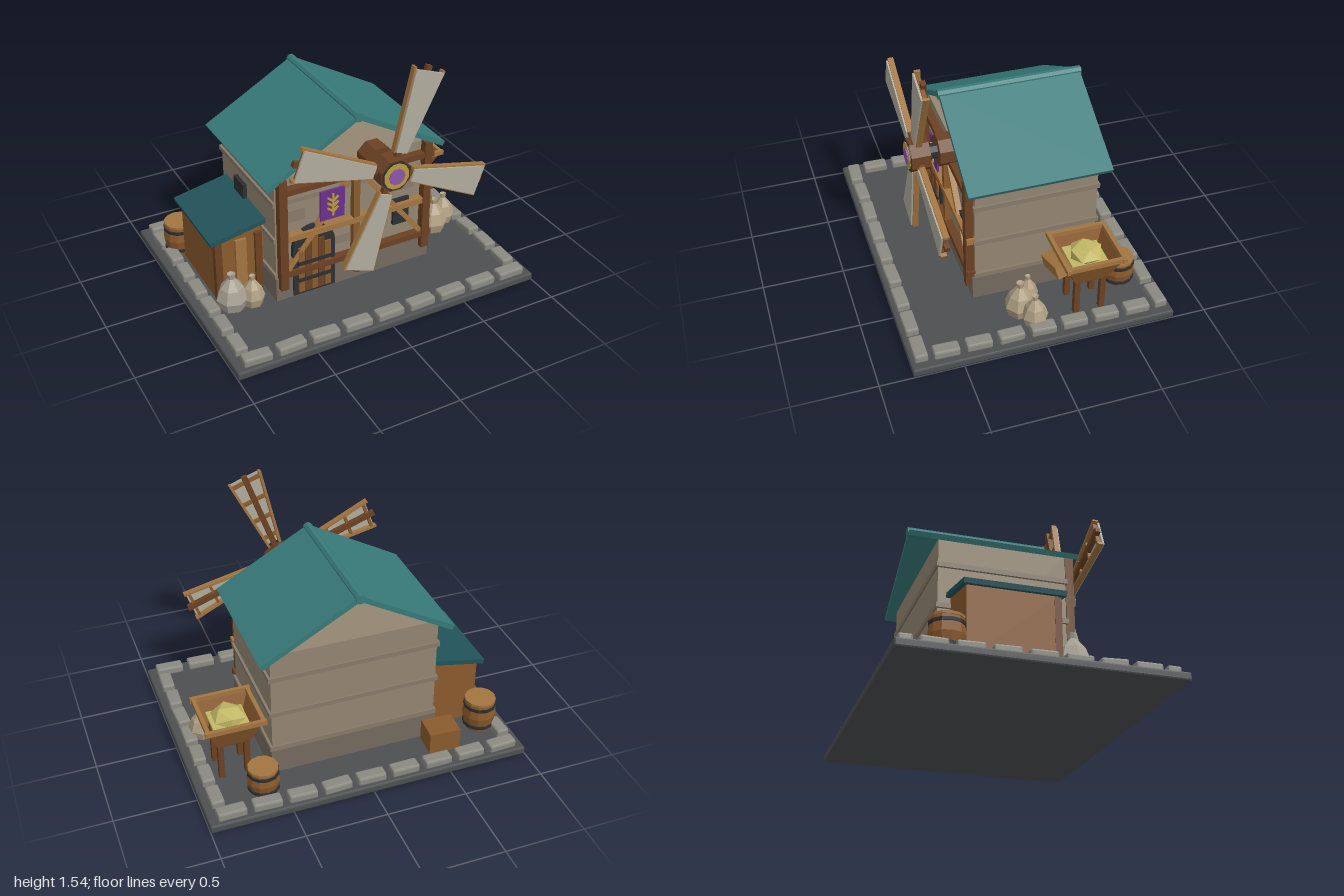
import * as THREE from 'three';
import { RoundedBoxGeometry } from 'three/addons/geometries/RoundedBoxGeometry.js';

const C = {
  ground: 0x4c4f51, stone: 0x8a8a82, wall: 0x938672, foundation: 0x746a5f, brick: 0x877a69,
  roof: 0x387a7a, roofDark: 0x22525a, dark: 0x6b4122, mid: 0x8a5a2c, light: 0xa27540,
  iron: 0x2e2f33, cloth: 0xb0ab9c, purple: 0x6b2f8f, lilac: 0x8c56a8, gold: 0xb89a3c,
  grain: 0xc2b866, sack: 0xb0a083, sackGrey: 0xa8a194,
};
const mats = {};
const mat = (color, double = false) => mats[color + '_' + double] ??= new THREE.MeshStandardMaterial({
  color, flatShading: true, side: double ? THREE.DoubleSide : THREE.FrontSide,
});

// small seeded generator for irregular stones
let seed = 7;
const jitter = (a) => { seed = (seed * 16807) % 2147483647; return (seed / 2147483647 - 0.5) * 2 * a; };

function add(parent, name, geo, color, x = 0, y = 0, z = 0, double = false) {
  const m = new THREE.Mesh(geo, mat(color, double));
  m.name = name;
  m.position.set(x, y, z);
  parent.add(m);
  return m;
}
// box given by its extents
const box = (p, name, color, x0, x1, y0, y1, z0, z1) =>
  add(p, name, new THREE.BoxGeometry(x1 - x0, y1 - y0, z1 - z0), color, (x0 + x1) / 2, (y0 + y1) / 2, (z0 + z1) / 2);
// bar between two points of the xy plane
function bar(p, name, color, x0, y0, x1, y1, thick, z0, z1) {
  const m = add(p, name, new THREE.BoxGeometry(Math.hypot(x1 - x0, y1 - y0), thick, z1 - z0), color,
    (x0 + x1) / 2, (y0 + y1) / 2, (z0 + z1) / 2);
  m.rotation.z = Math.atan2(y1 - y0, x1 - x0);
  return m;
}
// cylinder lying along z
function disc(p, name, color, r, z0, z1, sides, x = 0, y = 0) {
  const geo = new THREE.CylinderGeometry(r, r, z1 - z0, sides).rotateX(Math.PI / 2).rotateZ(Math.PI / sides);
  return add(p, name, geo, color, x, y, (z0 + z1) / 2);
}
function group(parent, name, x = 0, y = 0, z = 0) {
  const g = new THREE.Group();
  g.name = name;
  g.position.set(x, y, z);
  parent.add(g);
  return g;
}

function buildYard(root) {
  const yard = group(root, 'yard');
  add(yard, 'ground', new RoundedBoxGeometry(2, 0.05, 1.6, 1, 0.01), C.ground, 0, 0.025, 0);
  const stone = (x, z, w, d) => {
    const m = add(yard, 'edgeStone', new RoundedBoxGeometry(w, 0.055, d, 1, 0.012), C.stone, x, 0.072, z);
    m.rotation.set(jitter(0.04), jitter(0.05), jitter(0.04));
  };
  for (const s of [-1, 1]) {
    for (let i = -4; i <= 4; i++) stone(i * 0.215, s * 0.735, 0.175, 0.08);
    for (let i = -3; i <= 3; i++) stone(s * 0.915, i * 0.195, 0.08, 0.155);
  }
}

function buildHouse(root) {
  const h = group(root, 'house');
  box(h, 'walls', C.wall, -0.52, 0.52, 0.05, 0.89, -0.465, 0.29);
  box(h, 'foundation', C.foundation, -0.53, 0.53, 0.05, 0.21, -0.478, 0.31);
  for (const y of [0.225, 0.475, 0.725])
    box(h, 'wallBand', C.brick, -0.535, 0.535, y - 0.015, y + 0.015, -0.475, 0.3);
  for (const [x, y, w, hh] of [[-0.39, 0.62, 0.12, 0.08], [0.15, 0.77, 0.12, 0.08], [0.3, 0.76, 0.11, 0.08],
    [0.17, 0.42, 0.12, 0.07], [0.37, 0.62, 0.1, 0.07], [-0.08, 0.36, 0.1, 0.06]])
    box(h, 'wallBrick', C.brick, x - w / 2, x + w / 2, y - hh / 2, y + hh / 2, 0.28, 0.3);

  // roof
  for (const s of [-1, 1]) bar(h, 'roofSlope', C.roof, 0, 1.193, s * 0.59, 0.862, 0.032, -0.525, 0.345);
  disc(h, 'roofRidge', C.roof, 0.03, -0.533, 0.353, 8, 0, 1.193);

  // timber frame
  for (const x of [-0.487, 0.487]) box(h, 'cornerPost', C.dark, x - 0.026, x + 0.026, 0.14, 0.9, 0.295, 0.345);
  box(h, 'centrePost', C.mid, -0.021, 0.021, 0.14, 0.83, 0.295, 0.335);
  for (const [y, c] of [[0.81, C.dark], [0.49, C.light], [0.24, C.dark]])
    box(h, 'crossBeam', c, -0.51, 0.53, y - 0.019, y + 0.019, 0.29, 0.34);
  for (const s of [-1, 1]) bar(h, 'brace', C.light, s * 0.46, 0.26, s * 0.05, 0.78, 0.032, 0.295, 0.33);

  // arched door
  const arch = (r, y0, y1) => {
    const s = new THREE.Shape();
    s.moveTo(-r, y0);
    s.lineTo(r, y0);
    s.absarc(0, y1, r, 0, Math.PI);
    return s;
  };
  const ext = (depth) => ({ depth, bevelEnabled: false, curveSegments: 6 });
  add(h, 'doorSurround', new THREE.ExtrudeGeometry(arch(0.14, 0.06, 0.39), ext(0.035)), C.iron, -0.28, 0, 0.285);
  for (let i = -2; i <= 2; i++)
    box(h, 'doorPlank', i % 2 ? C.dark : C.mid, -0.3 + i * 0.044, -0.26 + i * 0.044, 0.08, 0.47 - Math.abs(i) * 0.035, 0.31, 0.33);
  for (const y of [0.17, 0.29]) box(h, 'doorStrap', C.iron, -0.39, -0.17, y - 0.012, y + 0.012, 0.31, 0.336);

  // windows
  box(h, 'frontWindow', C.iron, 0.27, 0.38, 0.35, 0.53, 0.28, 0.312);
  box(h, 'sideWindow', C.iron, -0.545, -0.5, 0.51, 0.65, -0.24, -0.1);

  // banner with an ear of wheat
  box(h, 'banner', C.purple, -0.25, -0.09, 0.56, 0.76, 0.335, 0.347);
  box(h, 'wheatStem', C.gold, -0.176, -0.164, 0.585, 0.735, 0.343, 0.356);
  for (const y of [0.63, 0.665, 0.7]) for (const s of [-1, 1])
    bar(h, 'wheatGrain', C.gold, -0.17, y - 0.015, -0.17 + s * 0.035, y + 0.012, 0.012, 0.345, 0.358);
}

function buildWindmill(root) {
  const mill = group(root, 'windmill', 0.12, 0.89, 0);
  disc(mill, 'axleMount', C.dark, 0.1, 0.28, 0.4, 8);
  disc(mill, 'axle', C.iron, 0.048, 0.38, 0.46, 8);
  disc(mill, 'hub', C.dark, 0.105, 0.455, 0.57, 8);
  disc(mill, 'hubRim', C.iron, 0.098, 0.55, 0.575, 8);
  disc(mill, 'hubRing', C.gold, 0.083, 0.56, 0.58, 12);
  disc(mill, 'hubCap', C.lilac, 0.052, 0.57, 0.587, 10);

  for (let i = 0; i < 4; i++) {
    const blade = group(mill, 'blade');
    blade.rotation.z = THREE.MathUtils.degToRad(70.3 + 90 * i);
    bar(blade, 'spar', C.dark, 0.05, 0, 0.665, 0, 0.034, 0.5, 0.53);
    for (const s of [-1, 1]) bar(blade, 'sailEdge', C.light, 0.13, s * 0.038, 0.65, s * 0.1, 0.016, 0.505, 0.54);
    for (const r of [0.2, 0.34, 0.48, 0.62]) {
      const w = 0.03 + 0.1 * r;
      box(blade, 'sailRung', C.mid, r - 0.009, r + 0.009, -w, w, 0.51, 0.533);
    }
    const sail = new THREE.Shape([[0.135, -0.038], [0.64, -0.097], [0.64, 0.097], [0.135, 0.038]]
      .map(([x, y]) => new THREE.Vector2(x, y)));
    add(blade, 'sail', new THREE.ExtrudeGeometry(sail, { depth: 0.012, bevelEnabled: false }), C.cloth, 0, 0, 0.538);
  }
}

function buildShed(root) {
  const shed = group(root, 'shed');
  const side = new THREE.Shape([[-0.84, 0.05], [-0.5, 0.05], [-0.5, 0.535], [-0.84, 0.465]]
    .map(([x, y]) => new THREE.Vector2(x, y)));
  add(shed, 'shedBody', new THREE.ExtrudeGeometry(side, { depth: 0.51, bevelEnabled: false }), C.mid, 0, 0, -0.39);
  bar(shed, 'shedRoof', C.roofDark, -0.875, 0.472, -0.51, 0.545, 0.03, -0.415, 0.16);
  for (const x of [-0.82, -0.56]) box(shed, 'shedPost', C.dark, x - 0.022, x + 0.022, 0.05, 0.46, 0.1, 0.14);
  box(shed, 'shedPlank', C.light, -0.71, -0.64, 0.06, 0.44, 0.11, 0.14);
}

// barrel with iron hoops
function barrel(root, x, z, r, height) {
  const b = group(root, 'barrel', x, 0.05, z);
  const pts = [[0, 0], [r * 0.82, 0], [r, height * 0.5], [r * 0.86, height], [0, height]].map(([a, c]) => new THREE.Vector2(a, c));
  add(b, 'barrelBody', new THREE.LatheGeometry(pts, 12), C.mid);
  for (const t of [0.18, 0.82])
    add(b, 'barrelHoop', new THREE.CylinderGeometry(r * 0.97, r * 0.97, 0.02, 12), C.iron, 0, height * t, 0);
  add(b, 'barrelLid', new THREE.CylinderGeometry(r * 0.92, r * 0.92, 0.015, 12), C.light, 0, height, 0);
}

function sack(root, x, z, r, height, color) {
  const pts = [[0, 0], [0.8, 0], [1, 0.28], [0.72, 0.6], [0.2, 0.86], [0.26, 1], [0, 0.96]]
    .map(([a, b]) => new THREE.Vector2(a * r, b * height));
  add(root, 'sack', new THREE.LatheGeometry(pts, 7), color, x, 0.05, z).rotation.y = x * 9;
}

function buildHopper(root) {
  const h = group(root, 'hopper', 0.74, 0, -0.32);
  const funnel = new THREE.CylinderGeometry(0.17 * Math.SQRT2, 0.1 * Math.SQRT2, 0.17, 4, 1, true).rotateY(Math.PI / 4);
  add(h, 'funnel', funnel, C.mid, 0, 0.375, 0, true);
  box(h, 'funnelFloor', C.dark, -0.1, 0.1, 0.285, 0.3, -0.1, 0.1);
  for (const s of [-1, 1]) {
    box(h, 'rimSide', C.light, s * 0.166 - 0.012, s * 0.166 + 0.012, 0.445, 0.475, -0.17, 0.17);
    box(h, 'rimEnd', C.light, -0.185, 0.185, 0.445, 0.475, s * 0.172 - 0.012, s * 0.172 + 0.012);
    for (const t of [-1, 1]) box(h, 'leg', C.dark, s * 0.08 - 0.017, s * 0.08 + 0.017, 0.05, 0.33, t * 0.08 - 0.017, t * 0.08 + 0.017);
  }
  const grain = add(h, 'grain', new THREE.IcosahedronGeometry(0.11, 0), C.grain, 0, 0.43, 0);
  grain.scale.y = 0.55;
  add(h, 'grainBed', new THREE.BoxGeometry(0.22, 0.02, 0.22), C.grain, 0, 0.39, 0);
  const chute = add(h, 'chute', new THREE.BoxGeometry(0.2, 0.085, 0.11), C.light, -0.11, 0.28, 0.13);
  chute.rotation.set(0.2, 0.15, 0.22);
}

export function createModel() {
  const root = new THREE.Group();
  root.name = 'windmillHouse';
  buildYard(root);
  buildHouse(root);
  buildWindmill(root);
  buildShed(root);
  buildHopper(root);

  // props around the yard
  barrel(root, -0.83, -0.49, 0.105, 0.205);
  barrel(root, 0.62, -0.59, 0.1, 0.165);
  add(root, 'crate', new THREE.BoxGeometry(0.195, 0.14, 0.16), C.mid, -0.525, 0.12, -0.575).rotation.y = -0.06;
  sack(root, -0.78, 0.22, 0.1, 0.235, C.sackGrey);
  sack(root, -0.66, 0.25, 0.075, 0.2, C.sack);
  sack(root, 0.64, 0.0, 0.065, 0.19, C.sack);
  sack(root, 0.72, 0.075, 0.095, 0.225, C.sack);
  sack(root, 0.83, 0.02, 0.08, 0.205, C.sack);
  return root;
}
